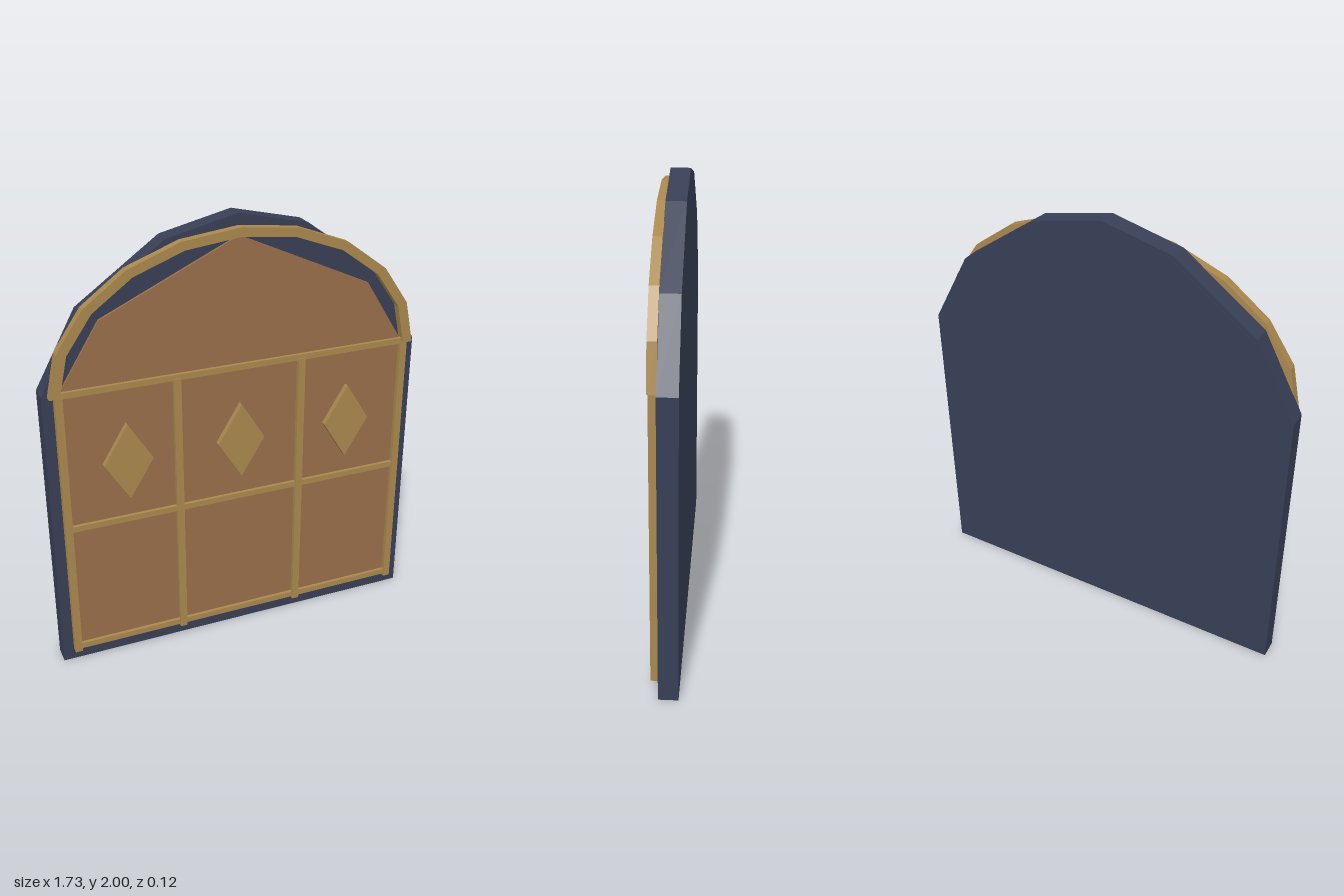
import * as THREE from 'three';

const frameMat = new THREE.MeshStandardMaterial({ color: 0x383f55 });
frameMat.name = 'navy frame';
const panelMat = new THREE.MeshStandardMaterial({ color: 0x976e49 });
panelMat.name = 'brown wood';
const trimMat = new THREE.MeshStandardMaterial({ color: 0xaa884e });
trimMat.name = 'brass trim';

export function createModel() {
  const group = new THREE.Group();

  // Flat plate cut from an outline, spanning z0 to z1
  const plate = (name, points, z0, z1, material) => {
    const shape = new THREE.Shape(points.map(([x, y]) => new THREE.Vector2(x, y)));
    const geometry = new THREE.ExtrudeGeometry(shape, { depth: z1 - z0, bevelEnabled: false });
    const mesh = new THREE.Mesh(geometry, material);
    mesh.name = name;
    mesh.position.z = z0;
    group.add(mesh);
  };

  // Completes a symmetric outline from its right half, listed bottom to top
  const mirrored = (half, apex) => [...half, apex, ...half.map(([x, y]) => [-x, y]).reverse()];

  const bar = (name, x, y, w, h, z0, z1) => {
    const mesh = new THREE.Mesh(new THREE.BoxGeometry(w, h, z1 - z0), trimMat);
    mesh.name = name;
    mesh.position.set(x, y, (z0 + z1) / 2);
    group.add(mesh);
  };

  // Backing slab and door panel
  plate('backSlab', mirrored([[0.865, 0], [0.865, 1.33], [0.682, 1.665], [0.315, 1.927]], [0, 2]), -0.06, 0.024, frameMat);
  plate('doorPanel', mirrored([[0.795, 0.07], [0.795, 1.335], [0.61, 1.63]], [0, 1.91]), 0.015, 0.037, panelMat);

  // Faceted arch moulding
  const arc = (rx, ry) => Array.from({ length: 11 }, (_, i) => {
    const a = (i / 10) * Math.PI;
    return [rx * Math.cos(a), 1.328 + ry * Math.sin(a)];
  });
  plate('archTrim', [...arc(0.84, 0.622), ...arc(0.795, 0.582).reverse()], 0.022, 0.061, trimMat);

  // Grid of mouldings
  for (const x of [-0.8, -0.29, 0.29, 0.8]) bar('verticalTrim', x, 0.693, 0.033, 1.275, 0.022, 0.058);
  for (const y of [0.08, 0.7, 1.335]) bar('horizontalTrim', 0, y, 1.6, 0.027, 0.022, 0.053);

  // Diamond ornaments
  for (const x of [-0.52, 0, 0.52]) {
    plate('diamond', [[x + 0.11, 0.985], [x, 1.163], [x - 0.11, 0.985], [x, 0.807]], 0.03, 0.064, trimMat);
  }

  return group;
}
